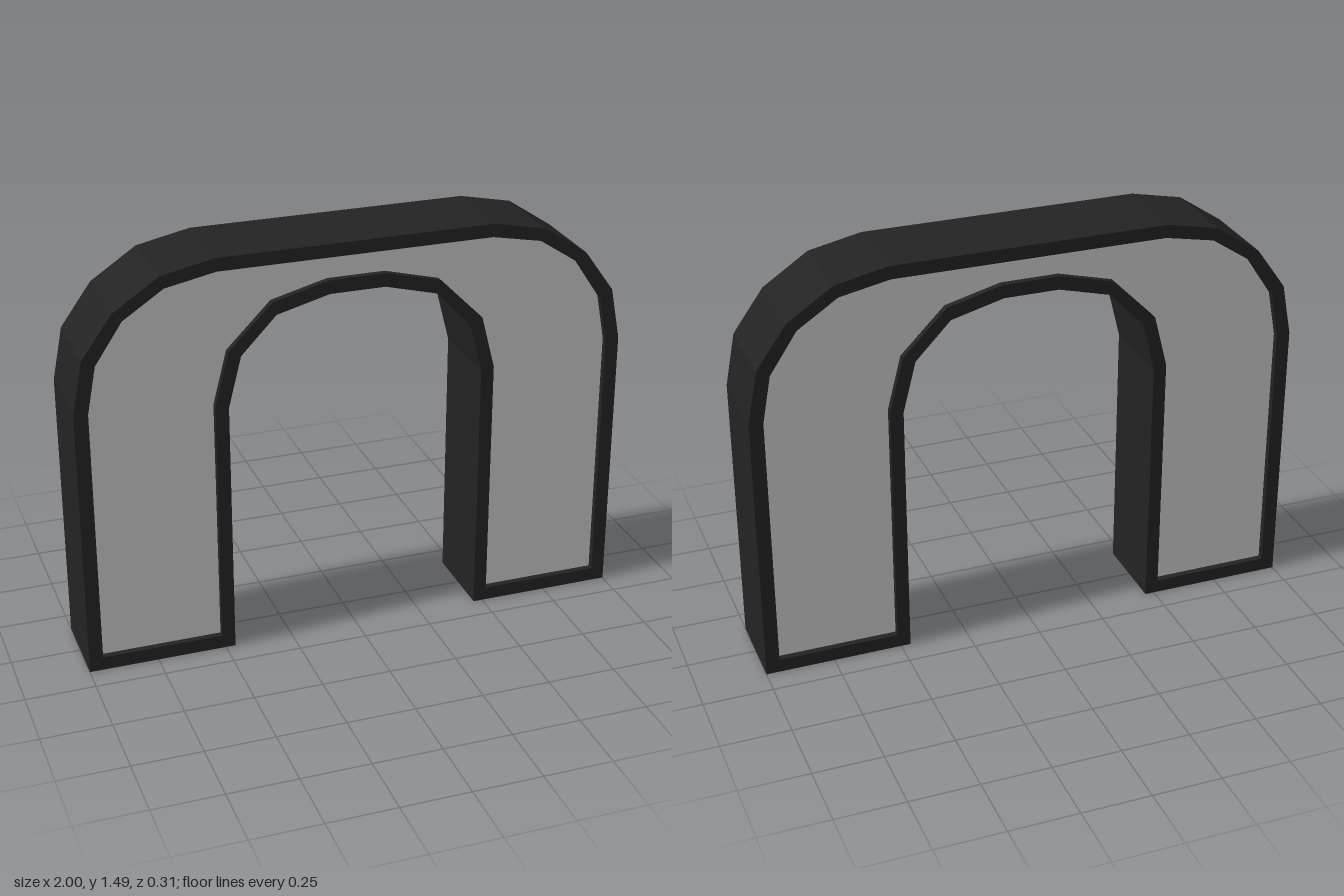
import * as THREE from 'three';

const DEPTH = 0.31;
const RECESS = 0.024;

// Right half of each arch line, from the foot up to the crown
const OUTER = [[1, 0], [1, 1], [0.963, 1.19], [0.853, 1.343], [0.69, 1.452], [0.5, 1.492]];
const OPENING = [[0.465, 0], [0.465, 0.945], [0.418, 1.13], [0.29, 1.263], [0.1, 1.313]];
const PANEL_OUTER = [[0.95, 0.05], [0.95, 0.995], [0.918, 1.165], [0.82, 1.312], [0.675, 1.408], [0.495, 1.444]];
const PANEL_INNER = [[0.513, 0.05], [0.513, 0.955], [0.463, 1.15], [0.304, 1.31], [0.104, 1.362]];

// Closed arch outline: over the top from right to left, then back under the opening
function archPoints(outer, inner) {
  const mirror = (pts) => pts.map(([x, y]) => [-x, y]).reverse();
  return [...outer, ...mirror(outer), ...mirror(inner).reverse(), ...[...inner].reverse()]
    .map(([x, y]) => new THREE.Vector2(x, y));
}

export function createModel() {
  const model = new THREE.Group();
  model.name = 'archway';

  const frameMat = new THREE.MeshStandardMaterial({ color: 0x232323 });
  frameMat.name = 'charcoal';
  const panelMat = new THREE.MeshStandardMaterial({ color: 0xc6c6c6 });
  panelMat.name = 'light grey';
  const inlayMat = new THREE.MeshStandardMaterial({ color: 0x2673b0 });
  inlayMat.name = 'blue';

  const add = (name, geometry, material) => {
    const mesh = new THREE.Mesh(geometry, material);
    mesh.name = name;
    model.add(mesh);
    return mesh;
  };

  // Dark frame running round the whole arch, open where the panels sit
  const frameShape = new THREE.Shape(archPoints(OUTER, OPENING));
  const panelPoints = archPoints(PANEL_OUTER, PANEL_INNER);
  frameShape.holes.push(new THREE.Path(panelPoints));
  const frameGeo = new THREE.ExtrudeGeometry(frameShape, { depth: DEPTH, bevelEnabled: false });
  frameGeo.translate(0, 0, -DEPTH / 2);
  add('frame', frameGeo, frameMat);

  // Recessed panels on the front and back
  const panelGeo = new THREE.ShapeGeometry(new THREE.Shape(panelPoints));
  add('frontPanel', panelGeo, panelMat).position.z = DEPTH / 2 - RECESS;
  const back = add('backPanel', panelGeo, panelMat);
  back.position.z = -DEPTH / 2 + RECESS;
  back.rotation.y = Math.PI;

  // Small blue sliver under the right foot
  const sliver = new THREE.Shape([[-0.49, 0.012], [-0.735, 0.05], [-0.545, -0.005]]
    .map(([x, z]) => new THREE.Vector2(x, z)));
  const inlay = add('footInlay', new THREE.ShapeGeometry(sliver), inlayMat);
  inlay.rotation.x = Math.PI / 2;
  inlay.position.y = -0.001;

  return model;
}
